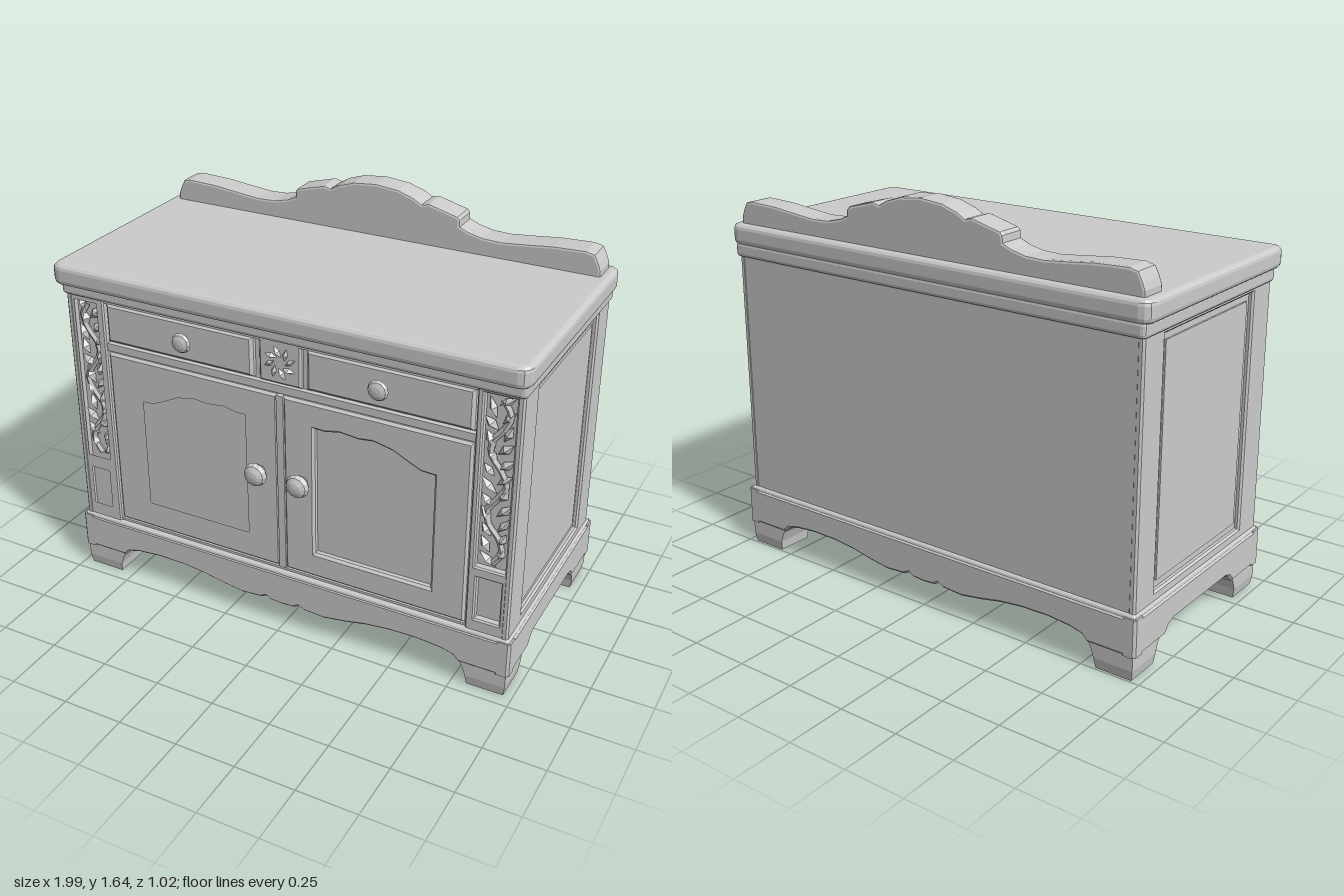
import * as THREE from 'three';

export function createModel() {
  const root = new THREE.Group();
  const mat = new THREE.MeshStandardMaterial({ color: 0xcccccc, flatShading: true });
  let seed = 7;
  const rnd = () => (seed = (seed * 16807) % 2147483647) / 2147483647;

  const add = (name, geo, x = 0, y = 0, z = 0, parent = root) => {
    const m = new THREE.Mesh(geo, mat);
    m.name = name;
    m.position.set(x, y, z);
    parent.add(m);
    return m;
  };
  const box = (name, x0, x1, y0, y1, z0, z1) => add(name,
    new THREE.BoxGeometry(Math.abs(x1 - x0), y1 - y0, z1 - z0),
    (x0 + x1) / 2, (y0 + y1) / 2, (z0 + z1) / 2);
  const poly = (pts) => pts.map(([x, y]) => new THREE.Vector2(x, y));
  const rect = (x0, y0, x1, y1) => [[x0, y0], [x1, y0], [x1, y1], [x0, y1]];
  const flip = (pts, s) => pts.map(([x, y]) => [x * s, y]);
  const mirrored = (half) => [...half, ...flip(half.filter((p) => p[0] > 0), -1).reverse()];

  // Plate with optional openings, chamfered inside its outline, filling z = 0..depth
  const plate = (pts, depth, bevel, holes = [], steps = 1) => {
    const shape = new THREE.Shape(poly(pts));
    shape.holes = holes.map((h) => new THREE.Path(poly(h)));
    return new THREE.ExtrudeGeometry(shape, {
      depth: depth - 2 * bevel, bevelThickness: bevel, bevelSize: bevel,
      bevelOffset: -bevel, bevelSegments: steps,
    }).translate(0, 0, bevel);
  };
  // Horizontal slab with rounded corners and edges
  const slab = (name, w, d, y0, y1, zc, bevel, radius) => {
    const pts = [];
    [[1, 1], [-1, 1], [-1, -1], [1, -1]].forEach(([sx, sz], q) => {
      for (let i = 0; i <= 3; i++) {
        const a = (q + i / 3) * Math.PI / 2;
        pts.push([sx * (w / 2 - radius) + radius * Math.cos(a), sz * (d / 2 - radius) + radius * Math.sin(a)]);
      }
    });
    const geo = plate(pts, y1 - y0, bevel, [], 3).rotateX(-Math.PI / 2);
    add(name, geo, 0, y0, zc);
  };

  // Carcass, worktop and the moulding below it
  box('carcass', -0.945, 0.945, 0.22, 1.32, -0.485, 0.415);
  slab('worktop', 1.985, 1.01, 1.34, 1.427, -0.005, 0.022, 0.045);
  slab('moulding', 1.95, 0.965, 1.29, 1.35, -0.02, 0.014, 0.02);

  // Shaped backboard
  const crest = mirrored([[0, 1.645], [0.1, 1.635], [0.17, 1.612], [0.205, 1.592], [0.235, 1.6],
    [0.3, 1.583], [0.36, 1.567], [0.37, 1.555], [0.372, 1.528], [0.41, 1.512], [0.47, 1.498], [0.55, 1.495],
    [0.65, 1.505], [0.76, 1.517], [0.89, 1.522], [0.925, 1.513], [0.942, 1.48], [0.953, 1.45], [0.953, 1.41]]);
  add('backboard', plate(crest, 0.115, 0.01, [], 2), 0, 0, -0.475);

  // Plinth: floor, scalloped front and back skirts, arched side skirts
  slab('plinthFloor', 1.95, 0.955, 0.19, 0.265, -0.022, 0.012, 0.012);
  const scallop = mirrored([[0, 0.102], [0.055, 0.106], [0.075, 0.119], [0.1, 0.106], [0.19, 0.1], [0.28, 0.113],
    [0.38, 0.133], [0.48, 0.144], [0.6, 0.146], [0.7, 0.137], [0.75, 0.124], [0.775, 0.1], [0.982, 0.1], [0.982, 0.255]]);
  add('frontSkirt', plate(scallop, 0.06, 0.01), 0, 0, 0.4);
  add('backSkirt', plate(scallop, 0.06, 0.01), 0, 0, -0.506);
  const arch = mirrored([[0, 0.142], [0.2, 0.142], [0.235, 0.132], [0.265, 0.1], [0.483, 0.1], [0.483, 0.255]]);
  for (const s of [1, -1]) {
    const geo = plate(arch, 0.06, 0.01).rotateY(Math.PI / 2);
    add(s > 0 ? 'leftSkirt' : 'rightSkirt', geo, s > 0 ? 0.922 : -0.982, 0, -0.023);
  }

  // Feet: outer faces upright, inner faces flare towards the top
  for (const sx of [1, -1]) for (const sz of [1, -1]) {
    const geo = new THREE.BoxGeometry(1, 1, 1, 1, 3, 1);
    const p = geo.attributes.position;
    for (let i = 0; i < p.count; i++) {
      const t = p.getY(i) + 0.5;
      const flare = 0.045 * t * t, out = 0.007 * Math.min(1, t * 3);
      const x = p.getX(i) * sx > 0 ? 0.963 + out : 0.81 - flare;
      const z = p.getZ(i) * sz > 0 ? 0.468 + out : 0.315 - flare;
      p.setXYZ(i, sx * x, t * 0.125, sz * z - 0.023);
    }
    geo.computeVertexNormals();
    add('foot', geo);
  }

  // Framed side panels
  const sideFrame = [rect(-0.467, 0.24, 0.467, 1.31), rect(-0.325, 0.3, 0.33, 1.275)];
  for (const s of [1, -1]) {
    const geo = plate(sideFrame[0], 0.03, 0.008, [sideFrame[1]]).rotateY(Math.PI / 2);
    add('sideFrame', geo, s > 0 ? 0.935 : -0.965, 0, -0.02);
    box('sidePanel', s * 0.93, s * 0.952, 0.33, 1.245, -0.32, 0.28);
  }

  // Rails across the front
  box('topRail', -0.8, 0.8, 1.275, 1.31, 0.4, 0.437);
  box('middleRail', -0.79, 0.79, 1.068, 1.1, 0.4, 0.436);
  box('bottomRail', -0.8, 0.8, 0.24, 0.275, 0.4, 0.436);
  box('centreBead', -0.015, 0.015, 0.28, 1.06, 0.4, 0.444);

  // Turned knobs, r = radius, length from the face
  const knob = (name, x, y, r, len) => {
    const prof = [[0.5, 0], [0.42, 0.25], [0.8, 0.36], [1, 0.58], [0.85, 0.82], [0.45, 0.96], [0, 1]];
    const geo = new THREE.LatheGeometry(prof.map(([a, b]) => new THREE.Vector2(a * r, b * len)), 12);
    add(name, geo.rotateX(Math.PI / 2), x, y, 0.435);
  };

  // Curled leaf for the carving
  const leaf = (parent, x, y, len, wid, ang) => {
    const geo = new THREE.OctahedronGeometry(1).scale(len, wid, 0.024);
    add('leaf', geo, x, y, 0.42, parent).rotation.z = ang;
  };

  for (const s of [1, -1]) {
    // Door with an arched opening
    const opening = [[0.145, 0.39], [0.64, 0.39], [0.64, 0.887], [0.585, 0.89], [0.54, 0.91], [0.47, 0.945],
      [0.39, 0.962], [0.33, 0.955], [0.25, 0.963], [0.19, 0.95], [0.145, 0.952]];
    add('door', plate(flip(rect(0.012, 0.28, 0.785, 1.062), s), 0.045, 0.01, [flip(opening, s)]), 0, 0, 0.397);
    knob('doorKnob', s * 0.093, 0.71, 0.05, 0.075);

    // Drawer
    add('drawer', plate(flip(rect(0.115, 1.11, 0.782, 1.277), s), 0.042, 0.012), 0, 0, 0.4);
    knob('drawerKnob', s * 0.418, 1.195, 0.042, 0.046);

    // Corner post with a carved field above a small sunk panel
    const post = flip(rect(0.79, 0.24, 0.965, 1.31), s);
    const fields = [rect(0.815, 0.55, 0.935, 1.275), rect(0.825, 0.315, 0.925, 0.505)].map((f) => flip(f, s));
    add('cornerPost', plate(post, 0.045, 0.006, fields), 0, 0, 0.4);

    // Winding vine with leaves
    const carving = new THREE.Group();
    carving.name = 'postCarving';
    root.add(carving);
    const stem = [];
    for (let i = 0; i <= 12; i++) stem.push(new THREE.Vector3(s * (0.875 + 0.035 * Math.sin(i * 1.3)), 0.57 + i * 0.057, 0.42));
    add('vine', new THREE.TubeGeometry(new THREE.CatmullRomCurve3(stem), 36, 0.013, 5), 0, 0, 0, carving);
    for (let i = 0; i < 22; i++) {
      const side = i % 2 ? 1 : -1;
      leaf(carving, s * (0.875 + side * (0.018 + 0.018 * rnd())), 0.585 + i * 0.0315,
        0.03 + 0.016 * rnd(), 0.014 + 0.008 * rnd(), s * side * (0.5 + 0.9 * rnd()));
    }
  }

  // Carved block between the drawers
  add('centreBlock', plate(rect(-0.09, 1.105, 0.09, 1.285), 0.04, 0.008), 0, 0, 0.395);
  const rosette = new THREE.Group();
  rosette.name = 'centreCarving';
  rosette.position.z = 0.01;
  root.add(rosette);
  for (let i = 0; i < 8; i++) {
    const a = (i / 8) * Math.PI * 2 + 0.2;
    leaf(rosette, 0.045 * Math.cos(a), 1.195 + 0.045 * Math.sin(a), 0.034, 0.014, a + 0.4);
  }
  return root;
}
